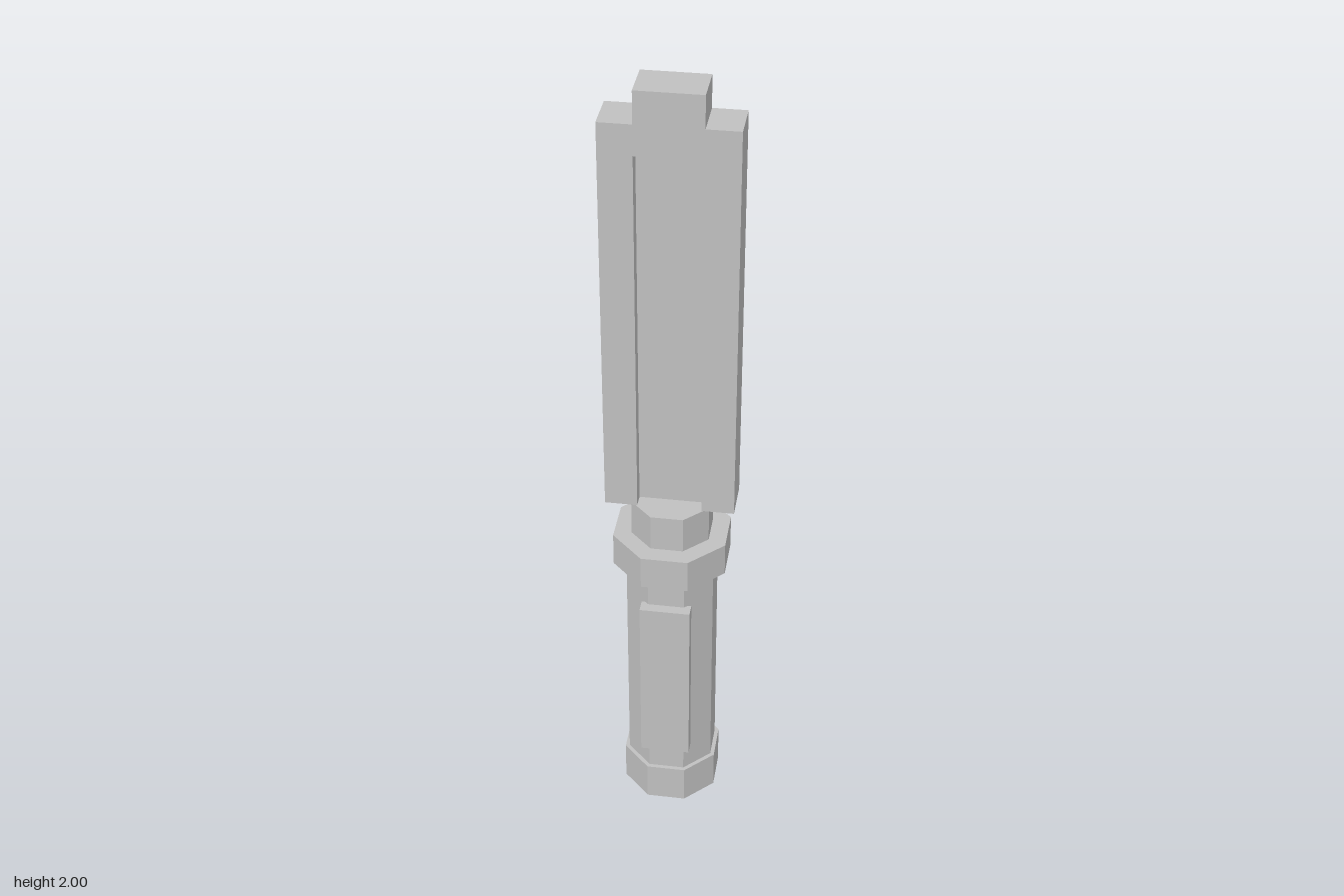
import * as THREE from 'three';

export function createModel() {
  const model = new THREE.Group();
  const grey = new THREE.MeshStandardMaterial({ color: 0xc0c0c0, flatShading: true });
  grey.name = 'plain grey';

  const add = (name, geometry, x = 0, y = 0, z = 0) => {
    const mesh = new THREE.Mesh(geometry, grey);
    mesh.name = name;
    mesh.position.set(x, y, z);
    model.add(mesh);
    return mesh;
  };

  // Octagonal section with flat sides facing the axes
  const octagon = (name, apothem, bottom, top) => {
    const r = apothem / Math.cos(Math.PI / 8);
    const g = new THREE.CylinderGeometry(r, r, top - bottom, 8);
    g.rotateY(Math.PI / 8);
    return add(name, g, 0, (bottom + top) / 2, 0);
  };

  // Hilt, from the bottom up
  octagon('pommel', 0.118, 0, 0.105);
  octagon('grip', 0.108, 0.105, 0.733);
  octagon('guard', 0.138, 0.733, 0.82);
  octagon('neck', 0.095, 0.82, 0.915);

  // Raised plate on the front of the grip
  add('gripPlate', new THREE.BoxGeometry(0.124, 0.468, 0.033), 0, 0.42, 0.1165);

  // Blade frame: stepped tip, with a slot open at the bottom
  const w = 0.157, s = 0.078, base = 0.915, depth = 0.104;
  const outline = new THREE.Shape([
    [-w, base], [-s, base], [-s, 1.848], [s, 1.848], [s, base], [w, base],
    [w, 1.922], [s, 1.922], [s, 2], [-s, 2], [-s, 1.922], [-w, 1.922],
  ].map(([x, y]) => new THREE.Vector2(x, y)));
  add('bladeFrame', new THREE.ExtrudeGeometry(outline, { depth, bevelEnabled: false }), 0, 0, -depth / 2);

  // Thin web filling the slot, leaving a groove on both faces
  add('bladeWeb', new THREE.BoxGeometry(2 * s, 1.848 - base, 0.036), 0, (1.848 + base) / 2, 0);

  return model;
}
